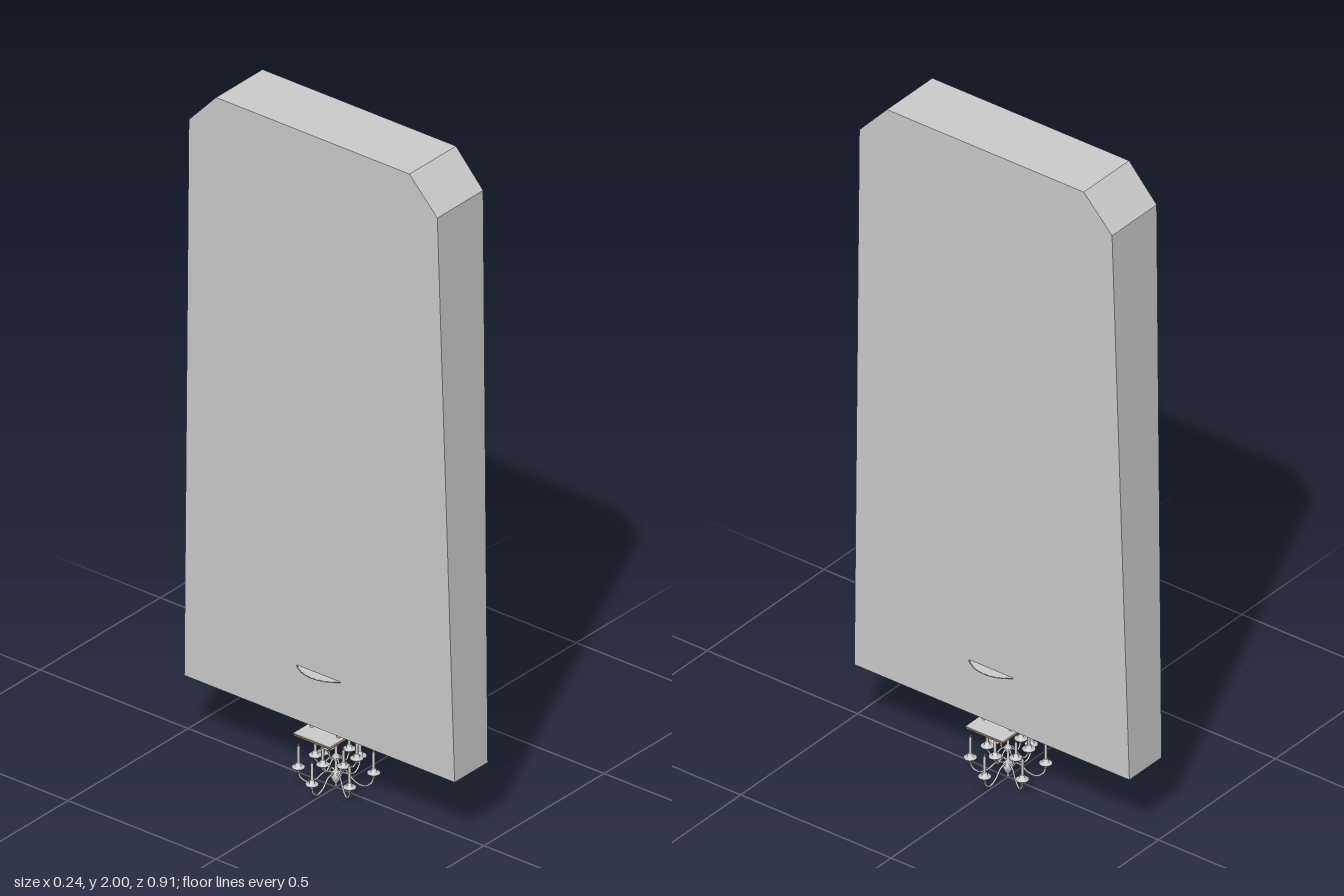
import * as THREE from 'three';

const grey = new THREE.MeshStandardMaterial({ color: 0xcccccc, side: THREE.DoubleSide });
const wood = new THREE.MeshStandardMaterial({ color: 0xa5713f });

function add(parent, name, geometry, material = grey, x = 0, y = 0, z = 0) {
  const mesh = new THREE.Mesh(geometry, material);
  mesh.name = name;
  mesh.position.set(x, y, z);
  parent.add(mesh);
  return mesh;
}

const lathe = (points, sides = 12) =>
  new THREE.LatheGeometry(points.map(([r, y]) => new THREE.Vector2(r, y)), sides);

// Tall slab with clipped top corners, thinner towards the bottom
function slabGeometry() {
  const outline = [[-0.457, 0.205], [0.457, 0.205], [0.42, 1.9], [0.327, 2],
    [-0.327, 2], [-0.42, 1.9]];
  const shape = new THREE.Shape(outline.map(([z, y]) => new THREE.Vector2(z, y)));
  const g = new THREE.ExtrudeGeometry(shape, { depth: 2, bevelEnabled: false });
  g.translate(0, 0, -1);
  g.rotateY(Math.PI / 2);
  const p = g.attributes.position;
  for (let i = 0; i < p.count; i++) {
    const t = (p.getY(i) - 0.205) / 1.795;
    p.setX(i, p.getX(i) * (0.069 + 0.028 * t));
  }
  g.computeVertexNormals();
  return g;
}

// Ring of curved arms, each carrying a drip pan and a candle
function armTier(name, count, radius, hubY, dipY, panY, topY) {
  const tier = new THREE.Group();
  tier.name = name;
  const curve = new THREE.CatmullRomCurve3([
    [0.006, hubY], [radius * 0.3, hubY - 0.002], [radius * 0.55, dipY + 0.008],
    [radius * 0.78, dipY], [radius * 0.96, dipY + 0.014], [radius, panY],
  ].map(([x, y]) => new THREE.Vector3(x, y, 0)));
  const armGeometry = new THREE.TubeGeometry(curve, 20, 0.0028, 6);
  const panGeometry = lathe([[0, -0.014], [0.004, -0.01], [0.006, -0.004], [0.018, 0.003],
    [0.018, 0.005], [0.007, 0.005], [0.007, 0.016], [0, 0.016]]);
  const height = topY - panY;
  const candleGeometry = lathe([[0.0042, 0], [0.0042, height - 0.012],
    [0.0015, height - 0.01], [0.0025, height - 0.006], [0, height]], 8);
  for (let i = 0; i < count; i++) {
    const arm = new THREE.Group();
    arm.name = 'candleArm';
    arm.rotation.y = (i / count) * Math.PI * 2;
    add(arm, 'arm', armGeometry);
    add(arm, 'dripPan', panGeometry, grey, radius, panY, 0);
    add(arm, 'candle', candleGeometry, grey, radius, panY, 0);
    tier.add(arm);
  }
  return tier;
}

export function createModel() {
  const model = new THREE.Group();
  model.name = 'slabWithChandelier';
  add(model, 'slab', slabGeometry());

  // Shallow dish showing on both broad faces
  add(model, 'dish', lathe([[0, 0.345], [0.045, 0.347], [0.073, 0.355], [0.104, 0.371],
    [0.1, 0.373], [0, 0.373]], 32));

  // Wooden mounting board below the slab
  const mount = new THREE.Group();
  mount.name = 'mount';
  add(mount, 'board', new THREE.BoxGeometry(0.2, 0.006, 0.12), wood, 0, 0.179, 0);
  add(mount, 'lowerBoard', new THREE.BoxGeometry(0.13, 0.008, 0.09), wood, 0, 0.172, 0);
  add(mount, 'boardTop', new THREE.BoxGeometry(0.206, 0.003, 0.124), grey, 0, 0.184, 0);
  for (const s of [-1, 1]) {
    add(mount, 'crossRail', new THREE.BoxGeometry(0.012, 0.008, 0.17), grey, s * 0.045, 0.198, 0);
    for (const t of [-1, 1]) {
      add(mount, 'post', new THREE.CylinderGeometry(0.005, 0.005, 0.022, 8), grey,
        s * 0.045, 0.194, t * 0.045);
    }
  }
  model.add(mount);

  // Chandelier: turned stem and two tiers of candle arms
  const chandelier = new THREE.Group();
  chandelier.name = 'chandelier';
  add(chandelier, 'stem', lathe([[0, 0], [0.004, 0.006], [0.003, 0.012], [0.01, 0.022],
    [0.016, 0.036], [0.012, 0.046], [0.005, 0.052], [0.004, 0.078], [0.011, 0.086],
    [0.011, 0.094], [0.004, 0.102], [0.004, 0.122], [0.008, 0.13], [0.02, 0.142],
    [0.02, 0.145], [0.005, 0.148], [0.004, 0.17], [0, 0.17]]));
  chandelier.add(armTier('lowerTier', 6, 0.1, 0.045, 0.01, 0.048, 0.125));
  chandelier.add(armTier('upperTier', 6, 0.055, 0.09, 0.064, 0.088, 0.15));
  model.add(chandelier);

  return model;
}
